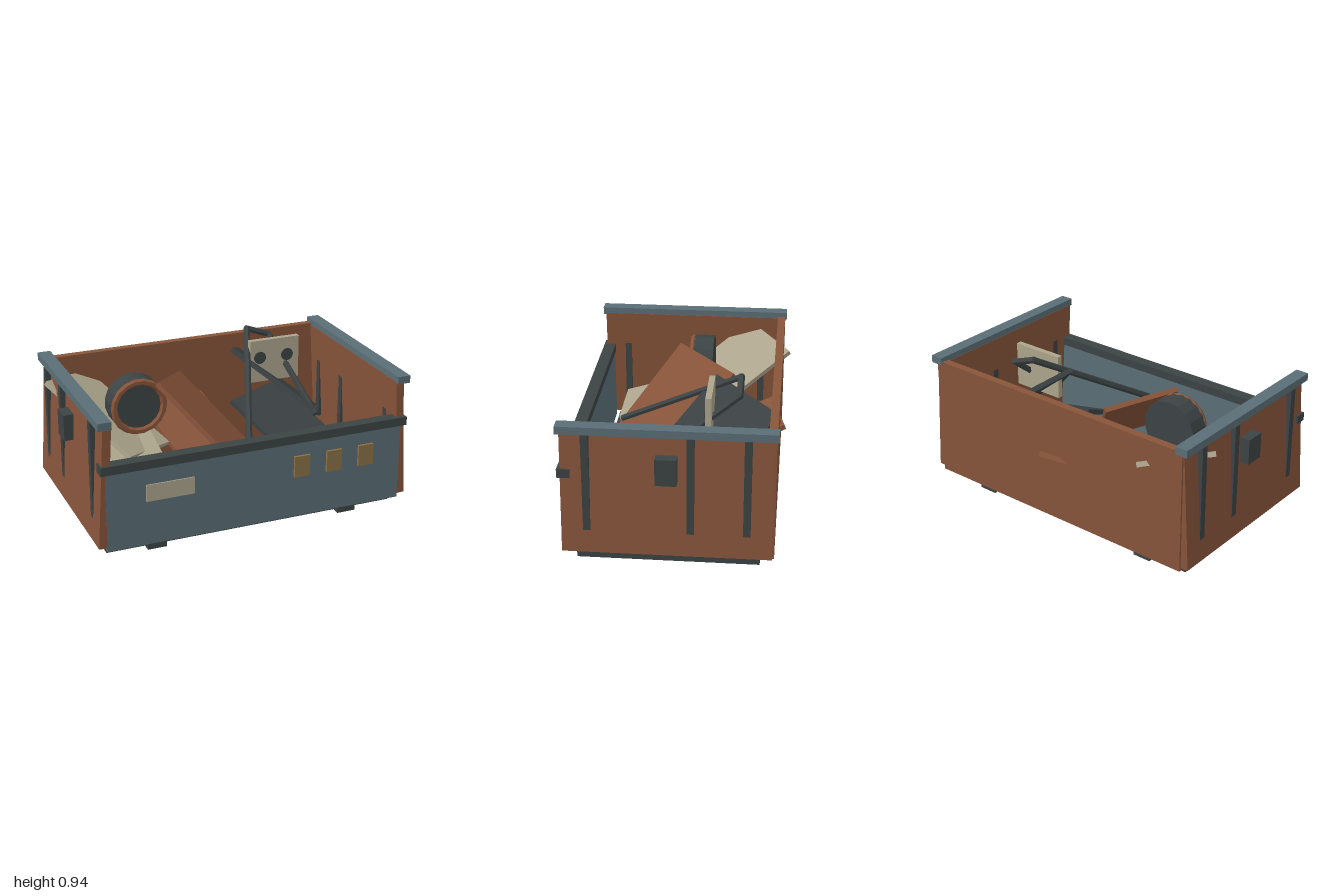
import * as THREE from 'three';

const paint = (name, color) => {
  const m = new THREE.MeshStandardMaterial({ color });
  m.name = name;
  m.flatShading = true;
  return m;
};

export function createModel() {
  const rust = paint('rust', 0x87543a);
  const steel = paint('blue steel', 0x5a6e76);
  const dark = paint('dark iron', 0x3c4344);
  const bone = paint('pale metal', 0xaca48c);
  const amber = paint('amber', 0x8a7044);

  const model = new THREE.Group();
  model.name = 'scrapSkip';

  const add = (name, geometry, material, parent = model) => {
    const mesh = new THREE.Mesh(geometry, material);
    mesh.name = name;
    parent.add(mesh);
    return mesh;
  };

  // Box given by its lower and upper limits on each axis
  const box = (name, mat, [x0, x1], [y0, y1], [z0, z1]) => {
    const mesh = add(name, new THREE.BoxGeometry(x1 - x0, y1 - y0, z1 - z0), mat);
    mesh.position.set((x0 + x1) / 2, (y0 + y1) / 2, (z0 + z1) / 2);
    return mesh;
  };

  // Loose rectangular sheet: upper face has corner a with neighbours b and c
  const sheet = (name, mat, a, b, c, thick = 0.03) => {
    const A = new THREE.Vector3(...a);
    const u = new THREE.Vector3(...b).sub(A);
    const v = new THREE.Vector3(...c).sub(A);
    const w = u.length(), h = v.length();
    const centre = A.clone().addScaledVector(u, 0.5).addScaledVector(v, 0.5);
    u.normalize();
    v.addScaledVector(u, -v.dot(u)).normalize();
    const n = new THREE.Vector3().crossVectors(v, u);
    const mesh = add(name, new THREE.BoxGeometry(w, thick, h), mat);
    mesh.quaternion.setFromRotationMatrix(new THREE.Matrix4().makeBasis(u, n, v));
    mesh.position.copy(centre).addScaledVector(n, -Math.sign(n.y) * thick / 2);
  };

  // Straight bar between two points
  const bar = (name, a, b, r) => {
    const A = new THREE.Vector3(...a), B = new THREE.Vector3(...b);
    const d = B.clone().sub(A);
    const mesh = add(name, new THREE.CylinderGeometry(r, r, d.length() + r, 6), dark);
    mesh.position.copy(A).add(B).multiplyScalar(0.5);
    mesh.quaternion.setFromUnitVectors(new THREE.Vector3(0, 1, 0), d.normalize());
  };

  // Floor and runners
  box('floor', dark, [-0.91, 0.91], [0.018, 0.085], [-0.508, 0.53]);
  for (const x of [-0.61, 0.608])
    box('runner', dark, [x - 0.058, x + 0.058], [0, 0.065], [-0.527, 0.553]);

  // Front and back walls
  box('frontWall', steel, [-0.925, 0.925], [0.065, 0.56], [0.555, 0.605]);
  box('frontRim', dark, [-0.955, 0.955], [0.543, 0.595], [0.548, 0.622]);
  box('backWall', rust, [-0.925, 0.925], [0.07, 0.83], [-0.588, -0.54]);

  // Leaning side walls with rails, upright ribs and handle blocks
  for (const s of [-1, 1]) {
    const span = (a, b) => (s > 0 ? [a, b] : [-b, -a]);
    const wall = box('sideWall', rust, span(0.902, 0.952), [0.088, 0.822], [-0.577, 0.604]);
    wall.rotation.z = s * 0.061;
    box('topRail', steel, span(0.882, 0.962), [0.812, 0.858], [-0.598, 0.622]);
    for (const z of [0.46, -0.12, -0.434])
      box('rib', dark, span(0.893, 0.966), [0.212, 0.813], [z - 0.021, z + 0.021]);
    box('handleBlock', dark, span(0.93, 1.0), [0.542, 0.7], [-0.047, 0.073]);
  }

  // Front plates
  box('frontLabel', bone, [-0.69, -0.4], [0.337, 0.44], [0.604, 0.612]);
  for (const x of [0.272, 0.481, 0.69])
    box('amberPlate', amber, [x - 0.049, x + 0.049], [0.325, 0.457], [0.604, 0.621]);

  // Loose sheets inside
  sheet('paleSheetHigh', bone, [-0.985, 0.76, -0.35], [-0.645, 0.69, -0.62], [-0.625, 0.42, 0.17]);
  sheet('paleSheetLow', bone, [-0.86, 0.5, -0.27], [-0.42, 0.5, -0.27], [-0.845, 0.28, 0.465]);
  sheet('rustSheetHigh', rust, [-0.41, 0.815, 0.06], [-0.145, 0.73, -0.29], [-0.005, 0.32, 0.485]);
  sheet('rustSheetLow', rust, [-0.375, 0.49, -0.525], [0.06, 0.5, -0.61], [-0.21, 0.24, 0.09]);
  sheet('darkSheetHigh', dark, [0.375, 0.72, -0.59], [0.775, 0.39, -0.24], [0.19, 0.855, -0.2]);
  sheet('darkSheetLow', dark, [0.135, 0.556, -0.11], [0.525, 0.57, -0.3], [0.43, 0.21, 0.5]);

  // Drum with a rust hoop on its front
  const drum = new THREE.Group();
  drum.name = 'drum';
  drum.position.set(-0.508, 0.648, -0.083);
  model.add(drum);
  add('drumBody', new THREE.CylinderGeometry(0.174, 0.174, 0.125, 18), dark, drum).rotation.x = Math.PI / 2;
  add('drumHoop', new THREE.TorusGeometry(0.157, 0.021, 6, 18), rust, drum).position.z = 0.067;

  // Bent bar
  const bends = [[0.04, 0.49, 0.37], [0.34, 0.92, -0.36], [0.49, 0.865, -0.36], [0.59, 0.49, 0.13]];
  for (let i = 0; i < 3; i++) bar('bentBar', bends[i], bends[i + 1], 0.02);

  // Upright pale panel with two dark round spots
  box('spotPanel', bone, [0.283, 0.615], [0.625, 0.898], [-0.207, -0.172]);
  for (const x of [0.348, 0.534]) {
    const spot = add('panelSpot', new THREE.CylinderGeometry(0.04, 0.04, 0.008, 14), dark);
    spot.rotation.x = Math.PI / 2;
    spot.position.set(x, 0.785, -0.17);
  }

  return model;
}
